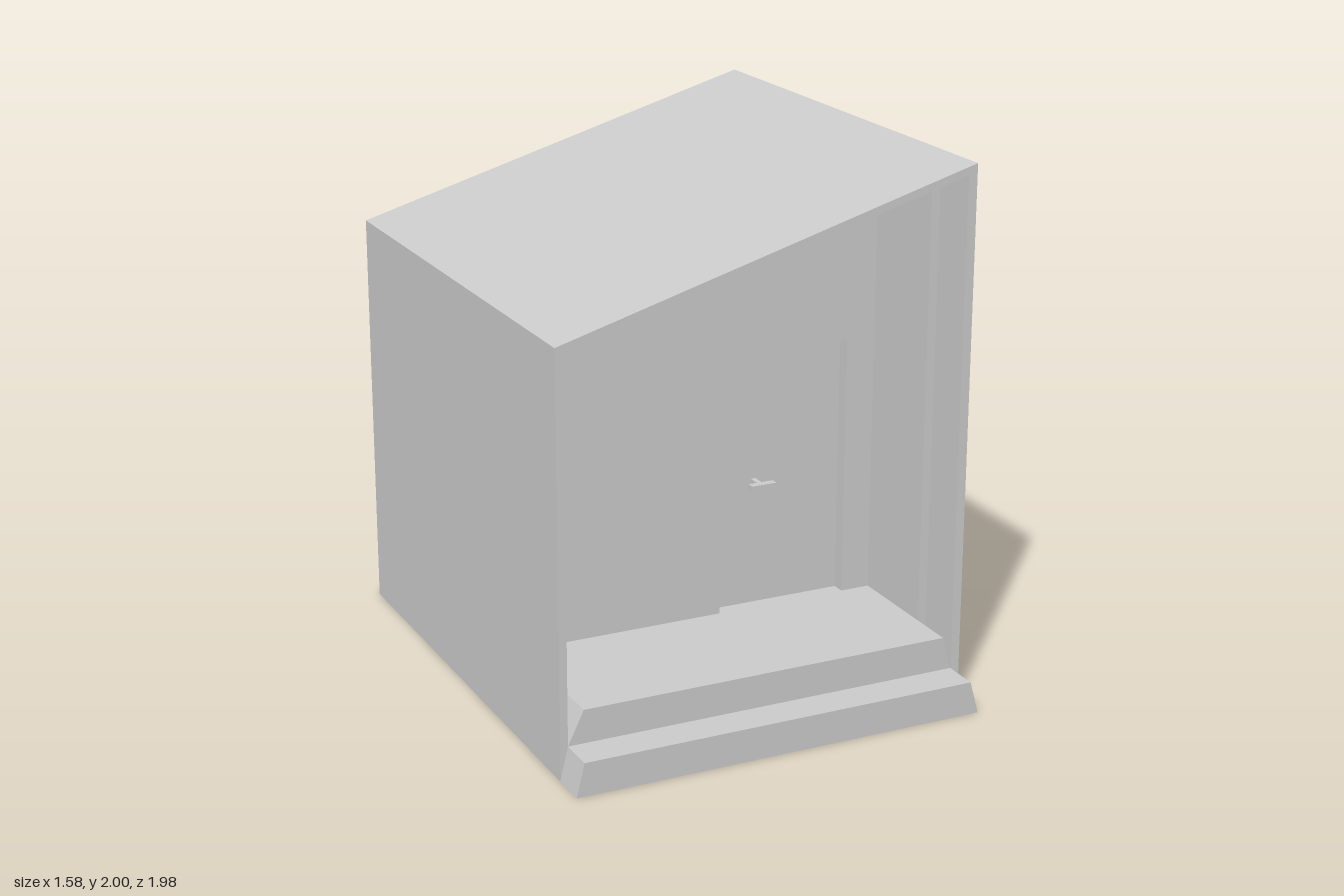
import * as THREE from 'three';

const material = new THREE.MeshStandardMaterial({ color: 0xcccccc, flatShading: true });

// Depths along z, from the street to the back
const STEP_Z = 0.99, FRONT_Z = 0.85, REBATE_Z = 0.67, WALL_Z = 0.3, DOOR_Z = 0.25, BACK_Z = -0.99;

// Counter-clockwise outlines, seen from the front
const hull = [[-0.79, 0], [0.79, 0], [0.79, 2], [-0.79, 1.547]];
const opening = [[-0.76, 0.125], [0.755, 0.125], [0.755, 1.96], [-0.76, 1.525]];
const porch = [[-0.7, 0.25], [0.72, 0.25], [0.72, 1.915], [-0.73, 1.505], [-0.73, 0.95]];
const doorway = [[0.09, 0.25], [0.605, 0.25], [0.605, 1.245], [0.09, 1.245]];
const lowerTread = [[-0.79, 0], [0.79, 0], [0.755, 0.125], [-0.76, 0.125]];
const upperTread = [[-0.76, 0.125], [0.755, 0.125], [0.72, 0.25], [-0.7, 0.25]];

const vectors = (points) => points.map(([x, y]) => new THREE.Vector2(x, y));

function add(parent, name, geometry) {
  const mesh = new THREE.Mesh(geometry, material);
  mesh.name = name;
  parent.add(mesh);
  return mesh;
}

// Flat face at depth z looking forwards, optionally with a cut-out
function plate(points, z, hole) {
  const shape = new THREE.Shape(vectors(points));
  if (hole) shape.holes.push(new THREE.Path(vectors(hole)));
  return new THREE.ShapeGeometry(shape).translate(0, 0, z);
}

// Side walls around an outline from zBack to zFront, facing out or in
function walls(outline, zBack, zFront, inward = false) {
  const points = inward ? [...outline].reverse() : outline;
  const positions = [];
  points.forEach((a, i) => {
    const b = points[(i + 1) % points.length];
    positions.push(...a, zBack, ...b, zBack, ...b, zFront);
    positions.push(...a, zBack, ...b, zFront, ...a, zFront);
  });
  const geometry = new THREE.BufferGeometry();
  geometry.setAttribute('position', new THREE.Float32BufferAttribute(positions, 3));
  geometry.computeVertexNormals();
  return geometry;
}

function prism(points, zBack, zFront) {
  return new THREE.ExtrudeGeometry(new THREE.Shape(vectors(points)), {
    depth: zFront - zBack, bevelEnabled: false,
  }).translate(0, 0, zBack);
}

export function createModel() {
  const model = new THREE.Group();
  model.name = 'cabin';

  // Outer body with a sloping roof
  const body = new THREE.Group();
  body.name = 'body';
  model.add(body);
  add(body, 'outerWallsAndRoof', walls(hull, BACK_Z, FRONT_Z));
  add(body, 'backWall', plate(hull.map(([x, y]) => [-x, y]), -BACK_Z).rotateY(Math.PI));
  add(body, 'frontFrame', plate(hull, FRONT_Z, opening));

  // Porch recess, narrowing once behind the front frame
  const recess = new THREE.Group();
  recess.name = 'porch';
  model.add(recess);
  add(recess, 'frameReveal', walls(opening, REBATE_Z, FRONT_Z, true));
  add(recess, 'innerFrame', plate(opening, REBATE_Z, porch));
  add(recess, 'porchWallsAndFloor', walls(porch, WALL_Z, REBATE_Z, true));
  const [jambFoot, farJambFoot, farJambTop, jambTop] = doorway;
  add(recess, 'porchBackWall', plate(
    [porch[0], jambFoot, jambTop, farJambTop, farJambFoot, ...porch.slice(1)], WALL_Z));

  // Recessed door with its bar handle
  const door = new THREE.Group();
  door.name = 'door';
  model.add(door);
  add(door, 'doorReveal', walls(doorway, DOOR_Z, WALL_Z, true));
  add(door, 'doorLeaf', plate(doorway, DOOR_Z));
  add(door, 'handle', new THREE.BoxGeometry(0.1, 0.025, 0.03)).position.set(0.25, 0.733, 0.325);
  add(door, 'handleStem', new THREE.BoxGeometry(0.02, 0.015, 0.06)).position.set(0.25, 0.733, 0.28);

  // Two steps with splayed ends
  add(model, 'lowerStep', prism(lowerTread, FRONT_Z, STEP_Z));
  add(model, 'upperStep', prism(upperTread, REBATE_Z, FRONT_Z));

  return model;
}
